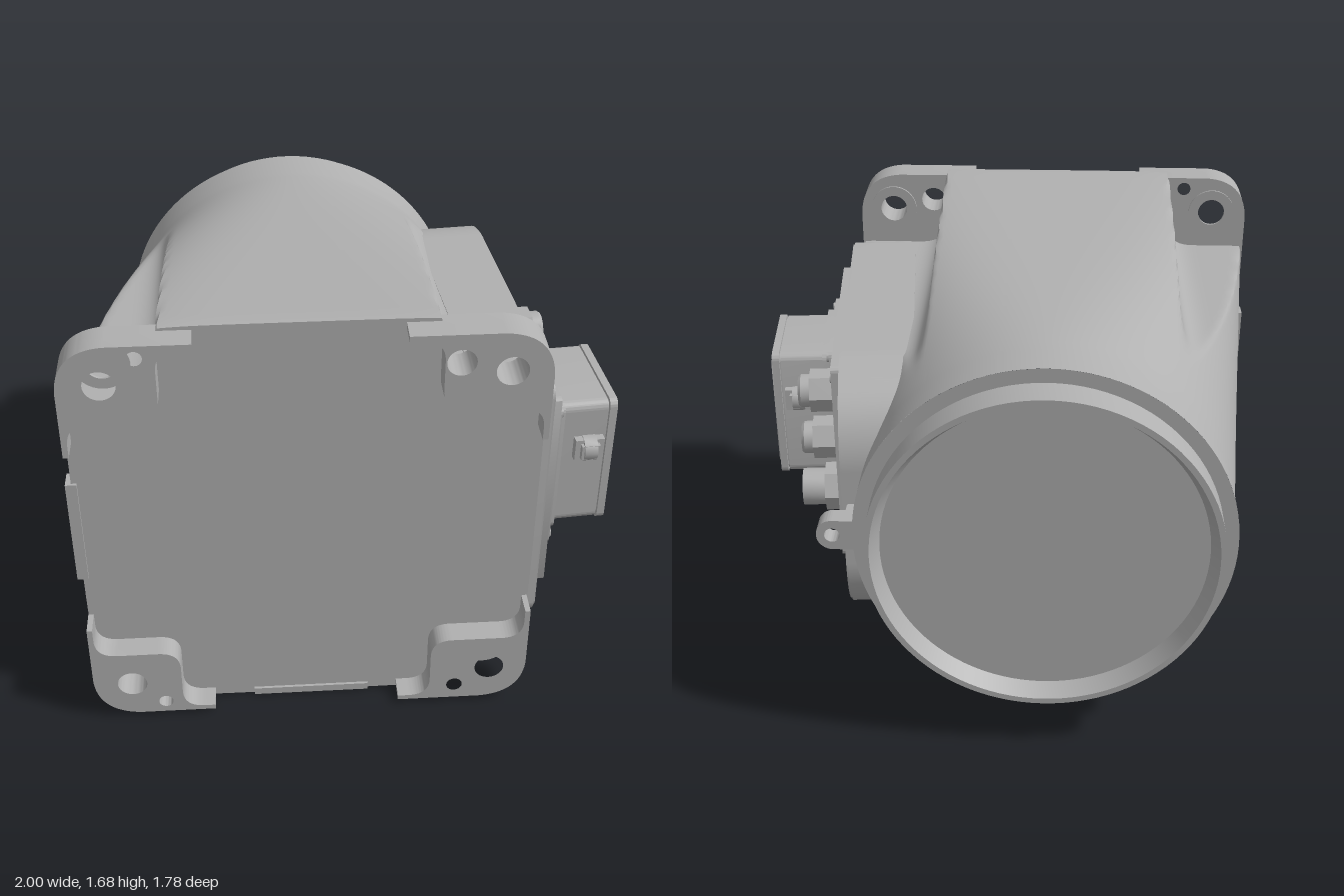
import * as THREE from 'three';
import { toCreasedNormals } from 'three/addons/utils/BufferGeometryUtils.js';

const CX = -0.16, CY = 0.842; // axis of the housing

const smax = (a, b, k) => Math.max(a, b) + Math.max(k - Math.abs(a - b), 0) ** 2 / (4 * k);
const smin = (a, b, k) => -smax(-a, -b, k);

// Radius of the housing at an angle: a squircle turning into a circle, cut by four corner pockets
function bodyRadius(angle, z) {
  const t = THREE.MathUtils.clamp((0.77 - z) / 1.39, 0, 1);
  const c = Math.cos(angle), s = Math.sin(angle);
  const ac = Math.max(Math.abs(c), 1e-5), as = Math.max(Math.abs(s), 1e-5);
  const hx = 0.82 - 0.13 * t, hy = 0.84 - 0.15 * t, n = 2 + 4 * (1 - t) ** 1.5;
  const shell = ((ac / hx) ** n + (as / hy) ** n) ** (-1 / n);
  const pocket = smax((c > 0 ? 0.45 : 0.49) / ac, 0.525 / as, 0.16);
  return smin(shell, pocket, 0.015);
}

function bodyGeometry() {
  const N = 360, zs = [0.8, 0.77];
  for (let i = 1; i <= 28; i++) zs.push(0.77 - 1.39 * i / 28);
  zs.push(-0.77);
  const pos = [], idx = [];
  const ring = z => {
    for (let j = 0; j < N; j++) {
      const a = j / N * Math.PI * 2, r = bodyRadius(a, z);
      pos.push(CX + r * Math.cos(a), CY + r * Math.sin(a), z);
    }
  };
  zs.forEach(ring);
  for (let i = 0; i < zs.length - 1; i++) for (let j = 0; j < N; j++) {
    const a = i * N + j, b = i * N + (j + 1) % N;
    idx.push(a, a + N, b, b, a + N, b + N);
  }
  // flat front face
  const start = pos.length / 3;
  ring(0.8);
  pos.push(CX, CY, 0.8);
  for (let j = 0; j < N; j++) idx.push(start + N, start + j, start + (j + 1) % N);
  const g = new THREE.BufferGeometry();
  g.setAttribute('position', new THREE.Float32BufferAttribute(pos, 3));
  g.setIndex(idx);
  return toCreasedNormals(g, 0.6);
}

// Mounting foot for one corner, with its thin rim tails
function footShape(sx, sy) {
  const a = sx > 0 ? 0.45 : 0.49, b = 0.525, X = sx > 0 ? 0.815 : 0.82, Y = 0.825;
  const s = new THREE.Shape();
  const p = (x, y) => [CX + sx * x, CY + sy * y];
  const line = (x, y) => s.lineTo(...p(x, y));
  const bend = (x1, y1, x2, y2) => s.quadraticCurveTo(...p(x1, y1), ...p(x2, y2));
  s.moveTo(...p(a - 0.12, Y - 0.02));
  line(a - 0.08, Y - 0.02);
  bend(a, Y - 0.02, a, Y - 0.1);
  line(a, b + 0.08);
  bend(a, b, a + 0.08, b);
  line(X - 0.1, b);
  bend(X - 0.02, b, X - 0.02, b - 0.08);
  line(X - 0.02, b - 0.13);
  line(X, b - 0.13);
  line(X, Y - 0.17);
  bend(X - 0.01, Y - 0.01, X - 0.17, Y);
  line(a - 0.12, Y);
  return s;
}

const hole = (x, y, r) => new THREE.Path().absarc(x, y, r, 0, Math.PI * 2, true);

// Rectangle with separate corner radii at its left and right ends
function roundRect(x0, x1, y0, y1, rl, rr = rl) {
  const s = new THREE.Shape(), q = Math.PI / 2;
  s.absarc(x1 - rr, y0 + rr, rr, -q, 0);
  s.absarc(x1 - rr, y1 - rr, rr, 0, q);
  s.absarc(x0 + rl, y1 - rl, rl, q, 2 * q);
  s.absarc(x0 + rl, y0 + rl, rl, 2 * q, 3 * q);
  s.closePath();
  return s;
}

export function createModel() {
  const model = new THREE.Group();
  model.name = 'machineBase';
  const grey = new THREE.MeshStandardMaterial({ color: 0xb0b0b0 });
  grey.name = 'castGrey';
  const add = (parent, name, geo) => {
    const m = new THREE.Mesh(geo, grey);
    m.name = name;
    parent.add(m);
    return m;
  };
  const extrude = (shape, depth) =>
    toCreasedNormals(new THREE.ExtrudeGeometry(shape, { depth, bevelEnabled: false, curveSegments: 24 }), 0.6);

  add(model, 'housing', bodyGeometry());

  // Rear flange with a recessed, chamfered mouth
  const flange = [[0.69, 0.77], [0.637, 0.77], [0.637, 0.895], [0.615, 0.895], [0.585, 0.83], [0, 0.83]]
    .map(p => new THREE.Vector2(...p));
  add(model, 'rearFlange', toCreasedNormals(new THREE.LatheGeometry(flange, 96), 0.5)
    .rotateX(-Math.PI / 2).translate(CX, CY, 0));

  // Four feet: [x side, y side, bolt hole x, y, small hole x, y, radius]
  for (const [sx, sy, bx, by, hx, hy, hr] of [
    [-1, 1, -0.835, 1.52, -0.715, 1.62, 0.027],
    [1, 1, 0.515, 1.52, 0.345, 1.56, 0.05],
    [-1, -1, -0.835, 0.17, -0.715, 0.07, 0.027],
    [1, -1, 0.515, 0.17, 0.385, 0.085, 0.03]]) {
    const shape = footShape(sx, sy);
    shape.holes.push(hole(bx, by, 0.055), hole(hx, hy, hr));
    add(model, 'foot', extrude(shape, 0.13).translate(0, 0, 0.76));
    const seat = new THREE.Shape().absarc(bx, by, 0.095, 0, Math.PI * 2);
    seat.holes.push(hole(bx, by, 0.055));
    add(model, 'boltSeat', extrude(seat, 0.01).translate(0, 0, 0.752));
  }

  // Locating pads on the left-hand wall and underneath
  add(model, 'sidePad', new THREE.BoxGeometry(0.04, 0.43, 0.07).translate(-0.98, 0.845, 0.775));
  add(model, 'bottomPad', new THREE.BoxGeometry(0.44, 0.03, 0.07).translate(CX, 0.015, 0.775));

  // Eyelet beside the rear flange
  const eye = roundRect(0.45, 0.66, 0.79, 0.91, 0.01, 0.058);
  eye.holes.push(hole(0.603, 0.85, 0.028));
  add(model, 'eyelet', extrude(eye, 0.075).translate(0, 0, -0.77));
  add(model, 'eyeletRoot', new THREE.BoxGeometry(0.12, 0.12, 0.12).translate(0.5, 0.85, -0.7));

  // Tilted connector panel: local x points outward, z runs forward
  const panel = new THREE.Group();
  panel.name = 'connectorPanel';
  panel.position.x = 0.634;
  panel.rotation.y = 0.084;
  model.add(panel);
  const slab = (name, shape, u0, u1) =>
    add(panel, name, extrude(shape, u1 - u0).rotateY(Math.PI / 2).translate(u0, 0, 0));
  const plate = (name, w, wide, high, r, u0, u1) =>
    slab(name, roundRect(-w - wide / 2, -w + wide / 2, 0.85 - high / 2, 0.85 + high / 2, r), u0, u1);
  const peg = (name, w, y, r, u0, u1, sides = 24) =>
    add(panel, name, toCreasedNormals(new THREE.CylinderGeometry(r, r, u1 - u0, sides), 0.6)
      .rotateZ(-Math.PI / 2).translate((u0 + u1) / 2, y, w));
  const block = (name, u0, u1, y, high, w, wide) =>
    add(panel, name, new THREE.BoxGeometry(u1 - u0, high, wide).translate((u0 + u1) / 2, y, w));

  slab('panelBoss', roundRect(-0.775, 0.66, 0.322, 1.372, 0.06, 0.33), -0.27, -0.008);
  slab('panelBossFace', roundRect(-0.767, 0.652, 0.33, 1.364, 0.055, 0.325), -0.008, 0);
  plate('coverPlate', 0.215, 0.99, 0.84, 0.02, 0, 0.045);
  plate('connectorFlange', 0.35, 0.55, 0.63, 0.03, 0.045, 0.08);
  plate('connectorCollar', 0.345, 0.46, 0.58, 0.04, 0.08, 0.11);
  plate('connectorHousing', 0.345, 0.41, 0.55, 0.035, 0.11, 0.28);
  plate('lidGroove', 0.345, 0.39, 0.53, 0.03, 0.28, 0.286);
  plate('connectorLid', 0.345, 0.415, 0.555, 0.03, 0.286, 0.315);
  plate('lidPanel', 0.345, 0.36, 0.46, 0.01, 0.315, 0.322);
  for (const s of [-1, 1]) {
    for (const k of [-1, 0, 1])
      block('lidTab', 0.315, 0.322, 0.85 + s * 0.238, 0.02, 0.345 + k * 0.125, k ? 0.06 : 0.1);
    // latch lugs on the connector flanks
    block('latchLug', 0.16, 0.27, 0.935, 0.09, 0.345 + s * 0.215, 0.04);
    peg('latchPivot', 0.345 + s * 0.215, 0.935, 0.05, 0.19, 0.24, 16);
    block('latchTip', 0.18, 0.25, 0.935, 0.06, 0.345 + s * 0.24, 0.03);
    // screws of the cover plate and connector flange
    for (const v of [-1, 1]) {
      peg('coverScrew', 0.205 + s * 0.433, 0.85 + v * 0.357, 0.02, 0.04, 0.052);
      peg('flangeScrew', 0.35 + s * 0.243, 0.85 + v * 0.28, 0.02, 0.075, 0.09);
    }
  }

  // Two hex sockets and one capped gland
  const socket = [[0.065, 0.14], [0.065, 0.18], [0.058, 0.19], [0.045, 0.19], [0.045, 0.165],
    [0.012, 0.165], [0.012, 0.15], [0, 0.15]].map(p => new THREE.Vector2(...p));
  for (const y of [1.075, 0.865]) {
    peg('hexNut', -0.075, y, 0.085, 0.045, 0.145, 6);
    add(panel, 'socket', toCreasedNormals(new THREE.LatheGeometry(socket, 32), 0.5)
      .rotateZ(-Math.PI / 2).translate(0, y, -0.075));
  }
  peg('glandNut', -0.075, 0.635, 0.097, 0.045, 0.11, 6);
  peg('glandCap', -0.075, 0.635, 0.075, 0.11, 0.2, 32);

  return model;
}
